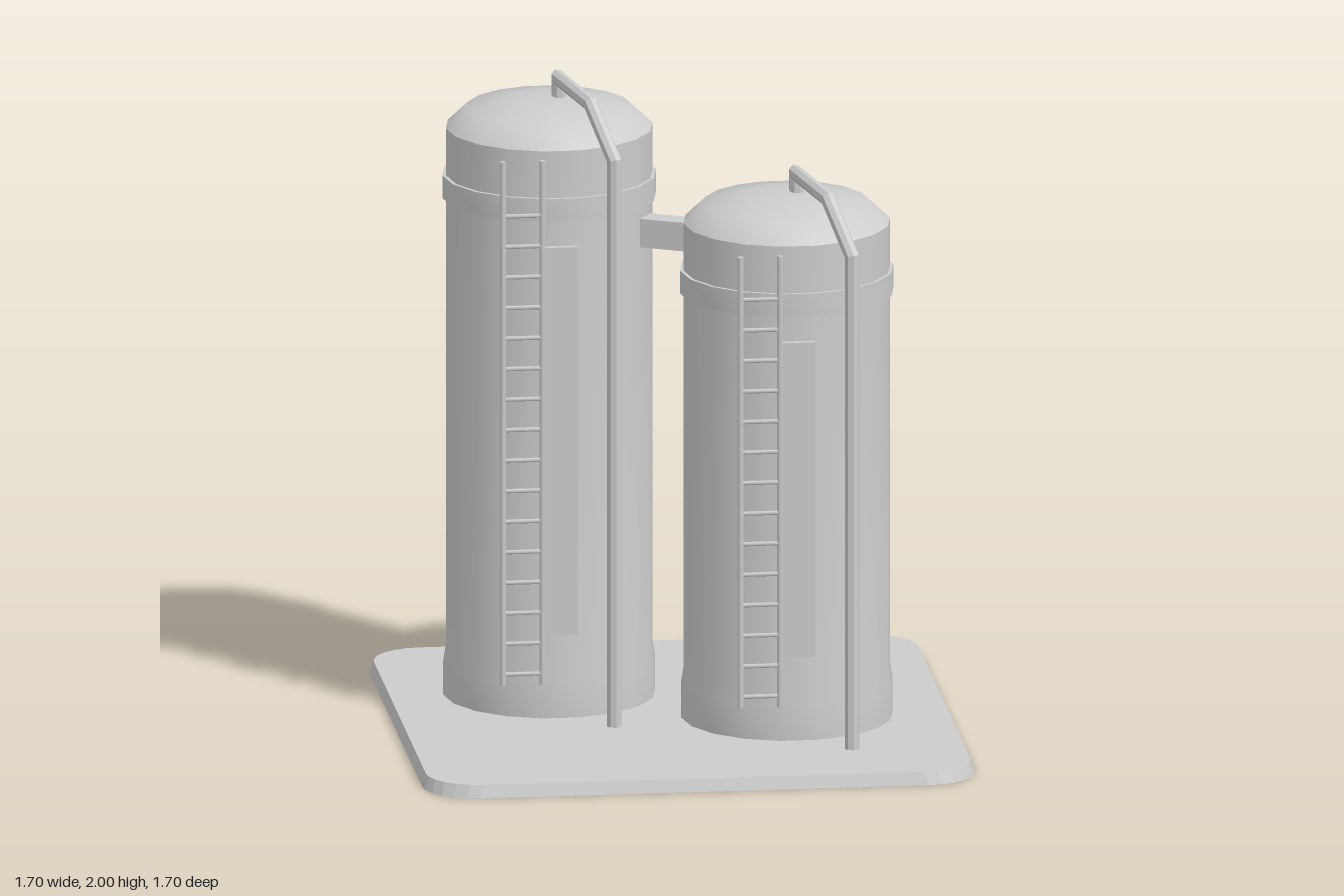
import * as THREE from 'three';
import { toCreasedNormals } from 'three/addons/utils/BufferGeometryUtils.js';

const steel = new THREE.MeshStandardMaterial({ color: 0xcccccc });
steel.name = 'pale grey steel';

function add(parent, name, geometry, x = 0, y = 0, z = 0) {
  const mesh = new THREE.Mesh(geometry, steel);
  mesh.name = name;
  mesh.position.set(x, y, z);
  parent.add(mesh);
  return mesh;
}

// Eight-sided pipe with mitred corners along a polyline, closed at both ends
function mitredPipe(path, radius, sides = 8) {
  const pts = path.map((p) => new THREE.Vector3(...p));
  const dirs = pts.slice(1).map((p, i) => p.clone().sub(pts[i]).normalize());
  const u = new THREE.Vector3(1, 0, 0).cross(dirs[0]).normalize();
  const v = dirs[0].clone().cross(u);
  let ring = [];
  for (let i = 0; i < sides; i++) {
    const a = ((i + 0.5) / sides) * Math.PI * 2;
    ring.push(pts[0].clone().addScaledVector(u, Math.cos(a) * radius).addScaledVector(v, Math.sin(a) * radius));
  }
  const out = [];
  const tri = (...ps) => ps.forEach((p) => out.push(p.x, p.y, p.z));
  for (let i = 0; i < sides; i++) tri(pts[0], ring[(i + 1) % sides], ring[i]);
  dirs.forEach((d, k) => {
    // slide the ring along this run until it meets the mitre plane
    const end = pts[k + 1];
    const normal = d.clone().add(dirs[k + 1] ?? d).normalize();
    const next = ring.map((p) => p.clone().addScaledVector(d, end.clone().sub(p).dot(normal) / d.dot(normal)));
    for (let i = 0; i < sides; i++) {
      const j = (i + 1) % sides;
      tri(ring[i], ring[j], next[j]);
      tri(ring[i], next[j], next[i]);
    }
    ring = next;
  });
  const last = pts[pts.length - 1];
  for (let i = 0; i < sides; i++) tri(last, ring[i], ring[(i + 1) % sides]);
  const g = new THREE.BufferGeometry();
  g.setAttribute('position', new THREE.Float32BufferAttribute(out, 3));
  g.computeVertexNormals();
  return g;
}

// Rounded square slab that narrows slightly toward its top
function slab() {
  const h = 0.85, r = 0.16, k = h - r;
  const s = new THREE.Shape();
  s.absarc(k, k, r, 0, Math.PI / 2);
  s.absarc(-k, k, r, Math.PI / 2, Math.PI);
  s.absarc(-k, -k, r, Math.PI, Math.PI * 1.5);
  s.absarc(k, -k, r, Math.PI * 1.5, Math.PI * 2);
  s.closePath();
  const g = new THREE.ExtrudeGeometry(s, { depth: 0.04, bevelEnabled: false, curveSegments: 3 });
  g.rotateX(-Math.PI / 2);
  const p = g.attributes.position;
  for (let i = 0; i < p.count; i++) {
    if (p.getY(i) > 0.02) p.setXYZ(i, p.getX(i) * 0.986, p.getY(i), p.getZ(i) * 0.986);
  }
  g.computeVertexNormals();
  return g;
}

function lathe(profile) {
  const pts = profile.map(([r, y]) => new THREE.Vector2(r, y));
  return toCreasedNormals(new THREE.LatheGeometry(pts, 18, Math.PI / 2), 0.65);
}

// One silo; top is the height of its shoulder
function makeSilo(name, x, z, top, rungs) {
  const silo = new THREE.Group();
  silo.name = name;
  silo.position.set(x, 0, z);

  add(silo, 'tank', lathe([
    [0.326, 0.03], [0.326, 0.15], [0.318, 0.2], [0.318, top],
    [0.255, top + 0.06], [0.13, top + 0.082], [0, top + 0.095],
  ]));
  add(silo, 'band', lathe([
    [0.316, top - 0.22], [0.329, top - 0.22], [0.329, top - 0.148], [0.316, top - 0.148],
  ]));

  // Filling pipe from the roof down to the slab
  add(silo, 'fillPipe', mitredPipe([
    [0.03, top + 0.06, 0], [0.03, top + 0.148, 0], [0.09, top + 0.148, 0.32],
    [0.15, top - 0.005, 0.437], [0.15, 0.03, 0.437],
  ], 0.023));

  // Ladder
  const ladder = new THREE.Group();
  ladder.name = 'ladder';
  ladder.position.set(-0.122, 0, 0.348);
  silo.add(ladder);
  const railHeight = top - 0.02 - 0.155;
  for (const side of [-1, 1]) {
    add(ladder, 'rail', new THREE.CylinderGeometry(0.01, 0.01, railHeight, 6), side * 0.061, 0.155 + railHeight / 2, 0);
  }
  const rung = new THREE.CylinderGeometry(0.007, 0.007, 0.122, 6).rotateZ(Math.PI / 2);
  for (let i = 0; i < rungs; i++) add(ladder, 'rung', rung, 0, 0.19 + i * 0.0965, 0);

  // Tall flat panel behind the ladder
  const panelHeight = top - 0.3 - 0.305;
  add(silo, 'panel', new THREE.BoxGeometry(0.104, panelHeight, 0.035), -0.002, 0.305 + panelHeight / 2, 0.316);
  return silo;
}

export function createModel() {
  const model = new THREE.Group();
  model.name = 'twinSilos';
  add(model, 'baseSlab', slab());
  model.add(makeSilo('tallSilo', -0.348, -0.26, 1.83, 16));
  model.add(makeSilo('shortSilo', 0.342, 0.095, 1.6, 14));

  // Box duct joining the two tanks
  const duct = add(model, 'duct', new THREE.BoxGeometry(0.2, 0.09, 0.075), -0.003, 1.527, -0.0825);
  duct.rotation.y = -Math.atan2(0.355, 0.69);
  return model;
}
